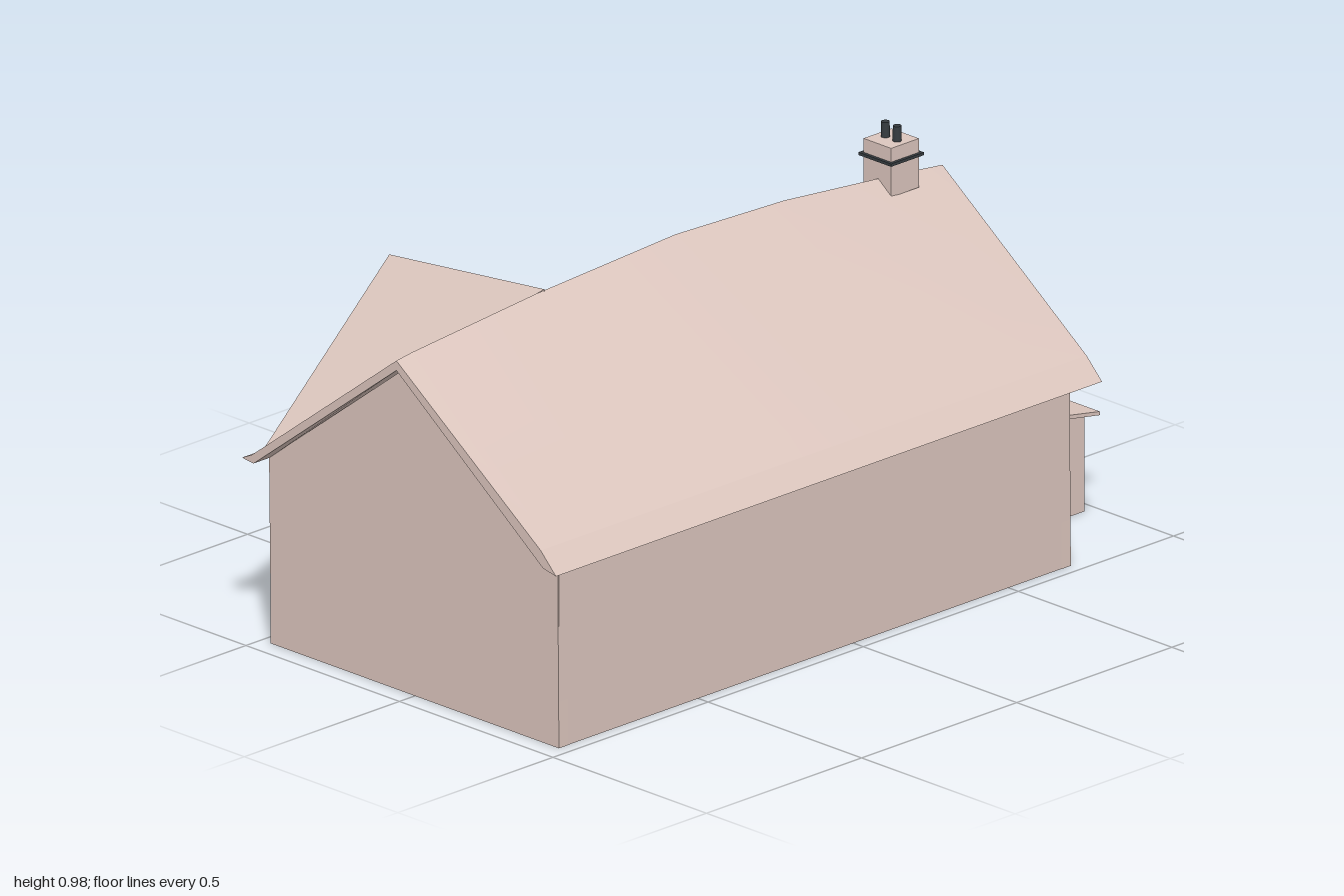
import * as THREE from 'three';

export function createModel() {
  const model = new THREE.Group();
  const mat = (name, color) => new THREE.MeshStandardMaterial({ name, color, side: THREE.DoubleSide });
  const plaster = mat('pink plaster', 0xdcc6be);
  const lining = mat('grey lining', 0xc8d0d0);
  const brown = mat('brown floor', 0x8e7264);
  const dark = mat('dark metal', 0x363c40);

  const add = (name, geo, material, x = 0, y = 0, z = 0) => {
    const m = new THREE.Mesh(geo, material);
    m.name = name;
    m.position.set(x, y, z);
    model.add(m);
    return m;
  };
  // box given by its min and max corners
  const box = (name, material, x0, x1, y0, y1, z0, z1) =>
    add(name, new THREE.BoxGeometry(x1 - x0, y1 - y0, z1 - z0), material,
      (x0 + x1) / 2, (y0 + y1) / 2, (z0 + z1) / 2);
  const path = (pts) => pts.map(([x, y]) => new THREE.Vector2(x, y));
  const slab = (pts, depth, holes = []) => {
    const s = new THREE.Shape(path(pts));
    for (const [a, b, c, d] of holes) s.holes.push(new THREE.Path(path([[a, c], [a, d], [b, d], [b, c]])));
    return new THREE.ExtrudeGeometry(s, { depth, bevelEnabled: false });
  };
  // slab drawn in (z, y) and extruded towards -x
  const sideSlab = (...args) => slab(...args).rotateY(-Math.PI / 2);

  // openings of the long facade: z0, z1, y0, y1, barred
  const openings = [
    [-0.55, -0.41, 0.06, 0.21], [-0.55, -0.41, 0.28, 0.43, true],
    [-0.18, -0.06, 0.006, 0.235], [-0.115, 0.0, 0.28, 0.42, true],
    [0.265, 0.395, 0.07, 0.23, true], [0.265, 0.395, 0.28, 0.43],
    [0.68, 0.81, 0.006, 0.215], [0.68, 0.81, 0.29, 0.43],
    [0.47, 0.59, 0.6, 0.74, true],
  ];
  const facade = [[-0.7, 0], [0.95, 0], [0.95, 0.455], [0.92, 0.455], [0.525, 0.815], [0.13, 0.455], [-0.7, 0.455]];
  add('facadeWall', sideSlab(facade, 0.03, openings), plaster, -0.44);
  add('facadeLining', sideSlab(facade.map(([z, y]) => [Math.max(-0.668, Math.min(0.918, z)), y]), 0.004, openings), lining, -0.435);

  // window bars
  for (const [z0, z1, y0, y1, barred] of openings) {
    if (!barred) continue;
    for (let i = 0; i <= 4; i++) {
      const z = z0 + 0.006 + (z1 - z0 - 0.012) * i / 4;
      box('windowUpright', dark, -0.458, -0.45, y0, y1, z - 0.005, z + 0.005);
      const y = y0 + 0.006 + (y1 - y0 - 0.012) * i / 4;
      box('windowCrossbar', dark, -0.458, -0.45, y - 0.005, y + 0.005, z0, z1);
    }
  }

  // gable end walls and plain long wall
  const gable = [[-0.469, 0], [0.469, 0], [0.465, 0.455], [-0.01, 0.812], [-0.475, 0.455]];
  const inner = [[-0.43, 0], [0.43, 0], [0.43, 0.44], [-0.43, 0.44]];
  const backDoor = [[-0.1, 0.07, 0.006, 0.19]];
  add('frontWall', slab(gable, 0.03), plaster, 0, 0, 0.92);
  add('frontLining', slab(inner, 0.004), lining, 0, 0, 0.915);
  add('backWall', slab(gable, 0.03, backDoor), plaster, 0, 0, -0.7);
  add('backLining', slab(inner, 0.004, backDoor), lining, 0, 0, -0.669);
  box('longWall', plaster, 0.44, 0.468, 0, 0.455, -0.698, 0.948);
  box('longWallLining', lining, 0.435, 0.439, 0.001, 0.455, -0.66, 0.91);

  // ground floor with its uneven edge, and the two ceilings
  const floor = [[0.465, 0.948], [-0.468, 0.948], [-0.468, -0.698], [-0.255, -0.698], [-0.255, -0.96], [0.24, -0.96],
    [0.25, -0.7], [0.31, -0.15], [0.41, -0.15], [0.44, 0.4]];
  add('floor', slab(floor, 0.004).rotateX(Math.PI / 2), brown, 0, 0.004, 0);
  box('doorStep', brown, -0.482, -0.468, 0, 0.008, -0.18, -0.06);
  box('lowerCeiling', lining, -0.435, 0.438, 0.245, 0.255, -0.668, 0.916);
  box('upperCeiling', lining, -0.435, 0.438, 0.44, 0.45, -0.668, 0.916);

  // main roof: cross-sections along a bowed ridge
  const ridge = [[-0.76, 0.837], [-0.62, 0.853], [-0.25, 0.888], [0.1, 0.9], [0.55, 0.876], [0.95, 0.841], [1.0, 0.834]];
  const section = (h) => [[-0.513, 0.458], [-0.48, 0.474], [-0.01, h], [0.46, 0.497], [0.51, 0.447],
    [0.468, 0.455], [-0.01, h - 0.024], [-0.475, 0.454]];
  const roof = new THREE.Group();
  roof.name = 'mainRoof';
  for (let k = 0; k < 8; k++) {
    const pos = [], idx = [];
    ridge.forEach(([z, h], i) => {
      const s = section(h), a = s[k], b = s[(k + 1) % 8];
      pos.push(...a, z, ...b, z);
      if (i) {
        const p = 2 * i - 2;
        idx.push(p, p + 2, p + 1, p + 1, p + 2, p + 3);
      }
    });
    const g = new THREE.BufferGeometry();
    g.setAttribute('position', new THREE.Float32BufferAttribute(pos, 3));
    g.setIndex(idx);
    g.computeVertexNormals();
    const m = new THREE.Mesh(g, plaster);
    m.name = 'roofFace';
    roof.add(m);
  }
  for (const [z, h] of [ridge[0], ridge[6]]) {
    const g = new THREE.ShapeGeometry(new THREE.Shape(path(section(h))));
    if (z < 0) g.rotateY(Math.PI).scale(-1, 1, 1).setIndex([...g.index.array].reverse());
    g.computeVertexNormals();
    const m = new THREE.Mesh(g, plaster);
    m.name = 'roofEnd';
    m.position.z = z;
    roof.add(m);
  }
  model.add(roof);

  // cross gable roof: two triangular slabs meeting the main ridge
  const peak = [-0.513, 0.828, 0.525], join = [-0.008, 0.881, 0.525];
  const triSlab = (a, b, c) => {
    const low = ([x, y, z]) => [x, y - 0.024, z];
    const t = [a, b, c], pos = [...a, ...b, ...c, ...low(a), ...low(c), ...low(b)];
    for (let i = 0; i < 3; i++) {
      const p = t[i], q = t[(i + 1) % 3];
      pos.push(...p, ...low(p), ...q, ...q, ...low(p), ...low(q));
    }
    const g = new THREE.BufferGeometry();
    g.setAttribute('position', new THREE.Float32BufferAttribute(pos, 3));
    g.computeVertexNormals();
    return g;
  };
  add('crossGableBackSlope', triSlab(peak, join, [-0.513, 0.46, 0.12]), plaster);
  add('crossGableFrontSlope', triSlab(peak, [-0.513, 0.46, 0.93], join), plaster);

  // lean-to porch
  add('porchFrontWall', slab([[-0.26, 0], [0.245, 0], [0.245, 0.235], [-0.26, 0.235]], 0.02,
    [[-0.14, 0.115, 0.006, 0.19]]), plaster, 0, 0, -0.965);
  const porchSide = [[-0.963, 0], [-0.7, 0], [-0.7, 0.282], [-0.963, 0.235]];
  for (const x of [-0.24, 0.245]) add('porchSideWall', sideSlab(porchSide, 0.02), plaster, x);
  for (const x of [-0.235, 0.224]) add('porchSideLining', sideSlab(porchSide, 0.003), lining, x);
  add('porchRoof', sideSlab([[-1, 0.231], [-0.7, 0.282], [-0.7, 0.293], [-1, 0.24]], 0.535), plaster, 0.26);

  // chimney with a dark band and two pots
  const cx = -0.013, cz = -0.598;
  box('chimneyStack', plaster, cx - 0.045, cx + 0.045, 0.825, 0.945, cz - 0.045, cz + 0.045);
  box('chimneyBand', dark, cx - 0.053, cx + 0.053, 0.904, 0.911, cz - 0.053, cz + 0.053);
  for (const s of [-1, 1]) {
    add('chimneyPot', new THREE.CylinderGeometry(0.01, 0.011, 0.04, 12), dark, cx + s * 0.019, 0.962, cz);
  }
  return model;
}
